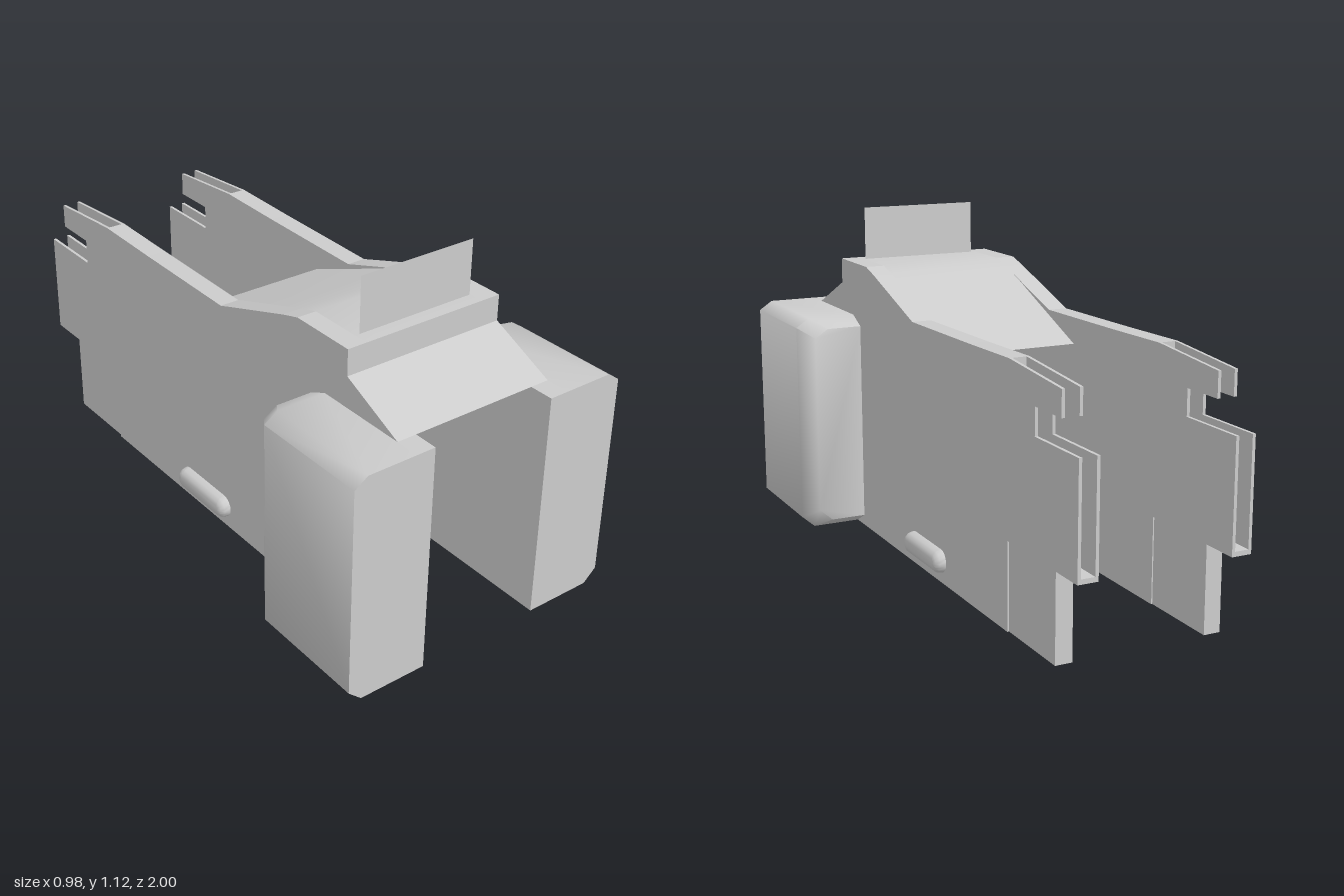
import * as THREE from 'three';
import { toCreasedNormals } from 'three/addons/utils/BufferGeometryUtils.js';
import { ConvexGeometry } from 'three/addons/geometries/ConvexGeometry.js';

const INNER = 0.215, OUTER = 0.28;

export function createModel() {
  const model = new THREE.Group();
  const grey = new THREE.MeshStandardMaterial({ color: 0xcccccc });
  const sheet = new THREE.MeshStandardMaterial({ color: 0xcccccc, side: THREE.DoubleSide });

  const add = (name, geometry, material = grey) => {
    const mesh = new THREE.Mesh(geometry, material);
    mesh.name = name;
    model.add(mesh);
    return mesh;
  };

  // Plate with a [z, y] outline, lying between x = a and x = b on one side
  const plate = (name, outline, a, b, side) => {
    const shape = new THREE.Shape(outline.map(([z, y]) => new THREE.Vector2(z, y)));
    const geometry = new THREE.ExtrudeGeometry(shape, { depth: b - a, bevelEnabled: false });
    geometry.rotateY(-Math.PI / 2).translate(side > 0 ? b : -a, 0, 0);
    return add(name, geometry);
  };

  // Outline of the hood, from nose to the crest of the slope
  const hoodLine = [[0.92, 0.75], [0.7, 0.85], [0.7, 0.935], [0.47, 0.935], [0.4, 0.915]];

  const wall = [
    [1, 0], [1, 0.75], ...hoodLine, [0.08, 0.81], [-0.34, 0.815], [-0.6, 0.82],
    [-0.6, 0.28], [-0.59, 0.28], [-0.59, 0],
  ];
  const fork = [
    [-0.6, 0.82], [-0.905, 0.795], [-0.905, 0.715], [-0.755, 0.715],
    [-0.755, 0.63], [-1, 0.63], [-1, 0.28], [-0.6, 0.28],
  ];
  const forkFloor = [[-0.6, 0.28], [-0.6, 0.295], [-1, 0.295], [-1, 0.28]];
  const foot = [[-0.59, 0], [-0.59, 0.28], [-0.87, 0.28], [-0.87, 0]];

  // Fender: chamfered outer corners, rounded rear edge, flat front
  const fenderSection = (z, inset) => {
    const x = 0.49 - inset, y0 = inset * 0.8, y1 = 0.75 - inset * 0.67, c = 0.045;
    return [[OUTER, y0], [x - c, y0], [x, y0 + 0.04], [x, y1 - 0.03], [x - c, y1], [OUTER, y1]]
      .map(([px, py]) => [px, py, z]);
  };
  const fenderPoints = [...fenderSection(1, 0), ...fenderSection(0.6, 0), ...fenderSection(0.535, 0.045)];

  // Rounded side button
  const pill = new THREE.Shape();
  pill.absarc(0.1, 0, 0.012, -Math.PI / 2, Math.PI / 2, false);
  pill.absarc(-0.1, 0, 0.012, Math.PI / 2, Math.PI * 1.5, false);

  for (const side of [1, -1]) {
    const label = side > 0 ? 'left' : 'right';
    plate(label + 'Wall', wall, INNER, OUTER, side);

    // Hollow notched fork at the rear: two skins and a floor
    plate(label + 'ForkInnerSkin', fork, INNER, INNER + 0.01, side);
    plate(label + 'ForkOuterSkin', fork, OUTER - 0.01, OUTER, side);
    plate(label + 'ForkFloor', forkFloor, INNER + 0.01, OUTER - 0.01, side);
    plate(label + 'RearFoot', foot, INNER + 0.004, OUTER - 0.006, side);

    const points = fenderPoints.map(([x, y, z]) => new THREE.Vector3(x * side, y, z));
    add(label + 'Fender', toCreasedNormals(new ConvexGeometry(points), 1.05));

    const button = new THREE.ExtrudeGeometry(pill, {
      depth: 0.01, bevelSize: 0.026, bevelThickness: 0.03, bevelSegments: 3, curveSegments: 8,
    });
    button.rotateY(side * Math.PI / 2).translate(side * 0.275, 0.073, -0.025);
    add(label + 'SideButton', toCreasedNormals(button, 0.9));
  }

  // Folded hood sheet between the walls, dipping below them at the rear
  const hoodPath = [...hoodLine, [0.31, 0.885], [-0.09, 0.725]];
  const positions = [], index = [];
  hoodPath.forEach(([z, y], i) => {
    positions.push(INNER, y, z, -INNER, y, z);
    const k = 2 * i;
    if (i) index.push(k - 2, k, k - 1, k - 1, k, k + 1);
  });
  const hood = new THREE.BufferGeometry();
  hood.setAttribute('position', new THREE.Float32BufferAttribute(positions, 3));
  hood.setIndex(index);
  add('hood', toCreasedNormals(hood, 0.35), sheet);

  // Upright screen on the hood
  add('screen', new THREE.PlaneGeometry(0.41, 0.18), sheet).position.set(0.005, 1.025, 0.65);

  return model;
}
